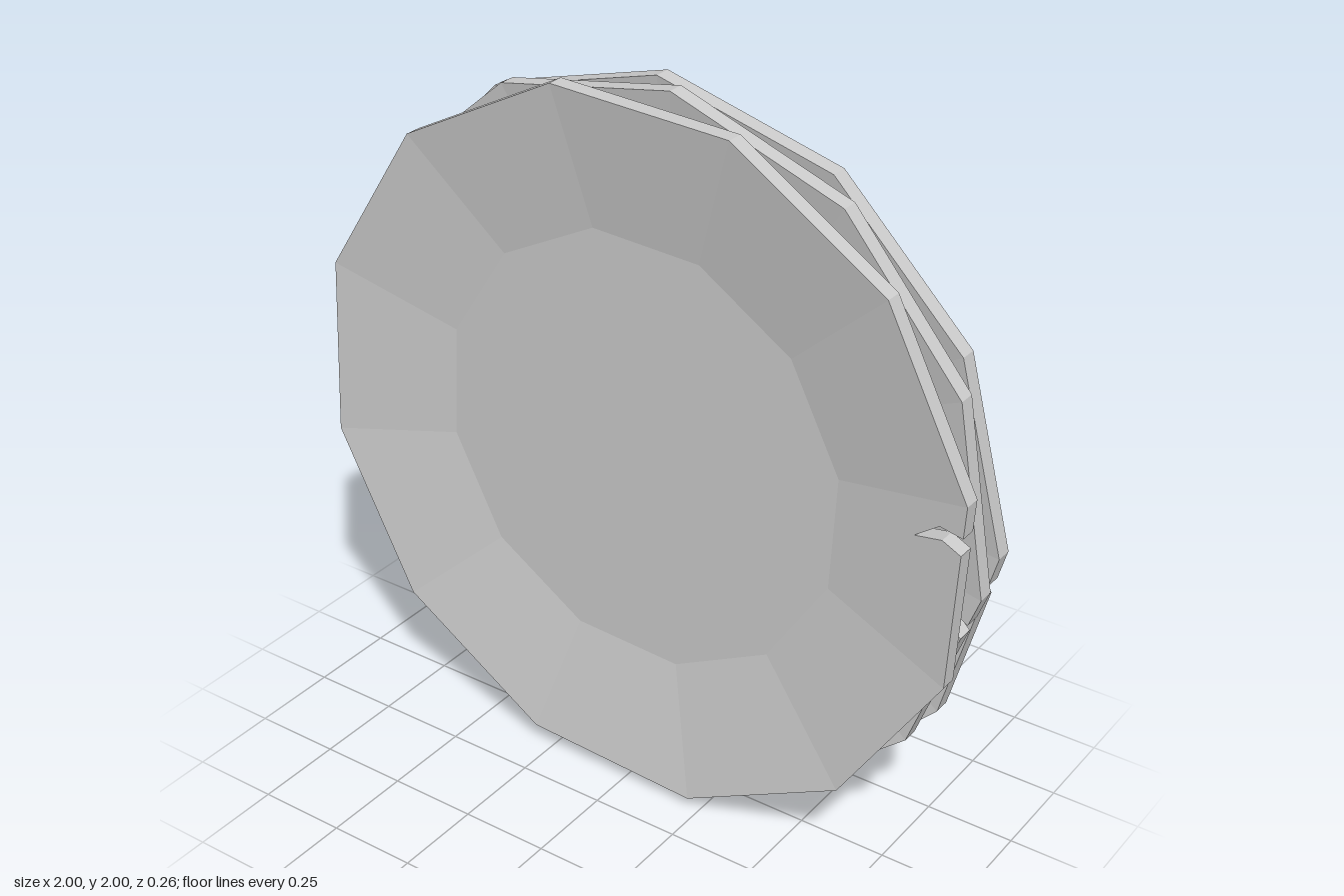
import * as THREE from 'three';

const SIDES = 12, FLOOR_R = 0.615, DISH = 0.058, THICK = 0.047;
const STEP = (Math.PI * 2) / SIDES;
const corner = (r, k) => new THREE.Vector2(r * Math.cos(k * STEP), r * Math.sin(k * STEP));

// jagged chip in the rim, listed counter-clockwise along the edge before corner 0
const CHIP = [[0.965, -0.13], [0.914, -0.099], [0.831, -0.102], [0.911, -0.064], [0.977, -0.084]]
  .map(([x, y]) => new THREE.Vector2(x, y));

// depth of the dish: 0 at the rim, falling evenly to the flat floor
function dishZ(p) {
  let r = 0;
  for (let k = 0; k < SIDES; k++) {
    const a = (k + 0.5) * STEP;
    r = Math.max(r, (p.x * Math.cos(a) + p.y * Math.sin(a)) / Math.cos(STEP / 2));
  }
  return -DISH * Math.min(1, (1 - r) / (1 - FLOOR_R));
}

function plateGeometry() {
  const pos = [];
  const tri = (...pts) => pts.forEach(([p, drop]) => pos.push(p.x, p.y, dishZ(p) - drop));
  // front and back sheet of one flat facet
  const panel = (poly) => {
    for (const [a, b, c] of THREE.ShapeUtils.triangulateShape(poly, [])) {
      tri([poly[a], 0], [poly[b], 0], [poly[c], 0]);
      tri([poly[c], THICK], [poly[b], THICK], [poly[a], THICK]);
    }
  };

  const floor = [], outline = [];
  for (let k = 0; k < SIDES; k++) {
    const edge = [corner(1, k), ...(k === SIDES - 1 ? CHIP : []), corner(1, k + 1)];
    panel([corner(FLOOR_R, k), ...edge, corner(FLOOR_R, k + 1)]);
    floor.push(corner(FLOOR_R, k));
    outline.push(...edge.slice(0, -1));
  }
  panel(floor);

  // rim wall, running in and out of the chip
  outline.forEach((p, i) => {
    const q = outline[(i + 1) % outline.length];
    tri([p, THICK], [q, THICK], [q, 0]);
    tri([p, THICK], [q, 0], [p, 0]);
  });

  const geo = new THREE.BufferGeometry();
  geo.setAttribute('position', new THREE.Float32BufferAttribute(pos, 3));
  geo.computeVertexNormals();
  return geo;
}

export function createModel() {
  const group = new THREE.Group();
  group.name = 'plateStack';
  const material = new THREE.MeshStandardMaterial({ color: 0xcccccc, flatShading: true });
  const geometry = plateGeometry();

  // nested plates, each turned a little: name, x, y, rim z, turn in degrees
  const plates = [
    ['frontPlate', 0.006, 1.006, 0.131, 12.1],
    ['middlePlate', -0.002, 1.003, 0.041, -5],
    ['backPlate', 0, 1, -0.026, 0],
  ];
  for (const [name, x, y, z, turn] of plates) {
    const plate = new THREE.Mesh(geometry, material);
    plate.name = name;
    plate.position.set(x, y, z);
    plate.rotation.z = THREE.MathUtils.degToRad(turn);
    group.add(plate);
  }
  return group;
}
